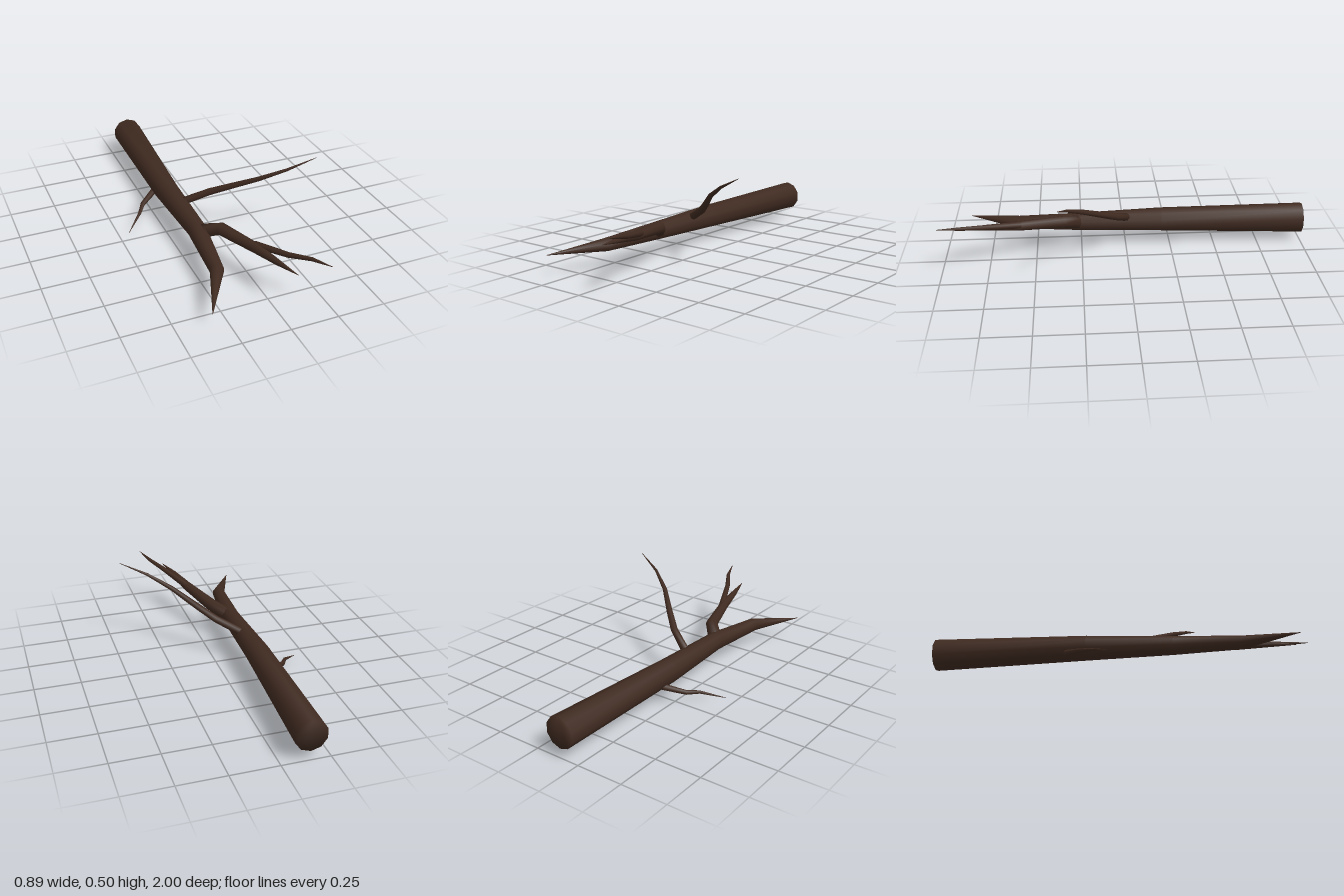
import * as THREE from 'three';

const bark = new THREE.MeshStandardMaterial({ color: 0x3f2a20 });
bark.name = 'darkBark';

// Tapered limb: each row is [x, y, z, radius]; the butt end is capped, the last row is the tip
function limb(name, rows, sides) {
  const pts = rows.map(r => new THREE.Vector3(r[0], r[1], r[2]));
  const last = rows.length - 1;
  const pos = [], index = [];
  const dir = (a, b) => pts[b].clone().sub(pts[a]).normalize();
  rows.forEach((row, i) => {
    // Mitre the ring between the neighbouring segments
    const t = new THREE.Vector3();
    if (i > 0) t.add(dir(i - 1, i));
    if (i < last) t.add(dir(i, i + 1));
    t.normalize();
    const u = new THREE.Vector3(0, 1, 0).addScaledVector(t, -t.y).normalize();
    const v = t.clone().cross(u);
    for (let j = 0; j < sides; j++) {
      const a = j / sides * Math.PI * 2;
      const p = pts[i].clone()
        .addScaledVector(u, Math.cos(a) * row[3])
        .addScaledVector(v, Math.sin(a) * row[3]);
      pos.push(p.x, p.y, p.z);
    }
  });
  for (let i = 0; i < last; i++) {
    for (let j = 0; j < sides; j++) {
      const k = (j + 1) % sides;
      const a = i * sides + j, b = i * sides + k;
      index.push(a, b, a + sides, b, b + sides, a + sides);
    }
  }
  // Butt cap, blended into the sides
  for (let j = 1; j < sides - 1; j++) index.push(0, j + 1, j);

  const g = new THREE.BufferGeometry();
  g.setAttribute('position', new THREE.Float32BufferAttribute(pos, 3));
  g.setIndex(index);
  g.computeVertexNormals();
  const mesh = new THREE.Mesh(g, bark);
  mesh.name = name;
  return mesh;
}

export function createModel() {
  const group = new THREE.Group();
  group.name = 'fallenBranch';
  group.add(
    // Main stem, thick at the back and pointed at the front
    limb('mainStem', [
      [-0.145, 0.135, -1, 0.084],
      [-0.172, 0.137, -0.2, 0.066],
      [-0.167, 0.139, 0.25, 0.05],
      [-0.205, 0.127, 0.6, 0.036],
      [-0.345, 0.107, 0.88, 0.001],
    ], 10),
    // Long twig rising to the left
    limb('longTwig', [
      [-0.14, 0.17, -0.005, 0.022],
      [-0.02, 0.235, 0.06, 0.02],
      [0.07, 0.293, 0.14, 0.017],
      [0.18, 0.367, 0.245, 0.013],
      [0.3, 0.434, 0.322, 0.008],
      [0.443, 0.5, 0.37, 0.001],
    ], 8),
    // Short twig drooping to the right
    limb('shortTwig', [
      [-0.21, 0.095, -0.3, 0.018],
      [-0.305, 0.062, -0.23, 0.013],
      [-0.345, 0.049, -0.165, 0.009],
      [-0.443, 0.002, -0.063, 0.001],
    ], 8),
    // Forked side branch
    limb('sideBranch', [
      [-0.145, 0.147, 0.275, 0.038],
      [-0.075, 0.185, 0.35, 0.034],
      [0.0, 0.205, 0.6, 0.026],
      [0.035, 0.22, 0.77, 0.015],
      [0.07, 0.23, 0.91, 0.001],
    ], 8),
    limb('forkTwig', [
      [0.005, 0.212, 0.58, 0.018],
      [0.09, 0.248, 0.77, 0.014],
      [0.155, 0.277, 0.88, 0.01],
      [0.197, 0.297, 0.995, 0.001],
    ], 8),
  );
  return group;
}
